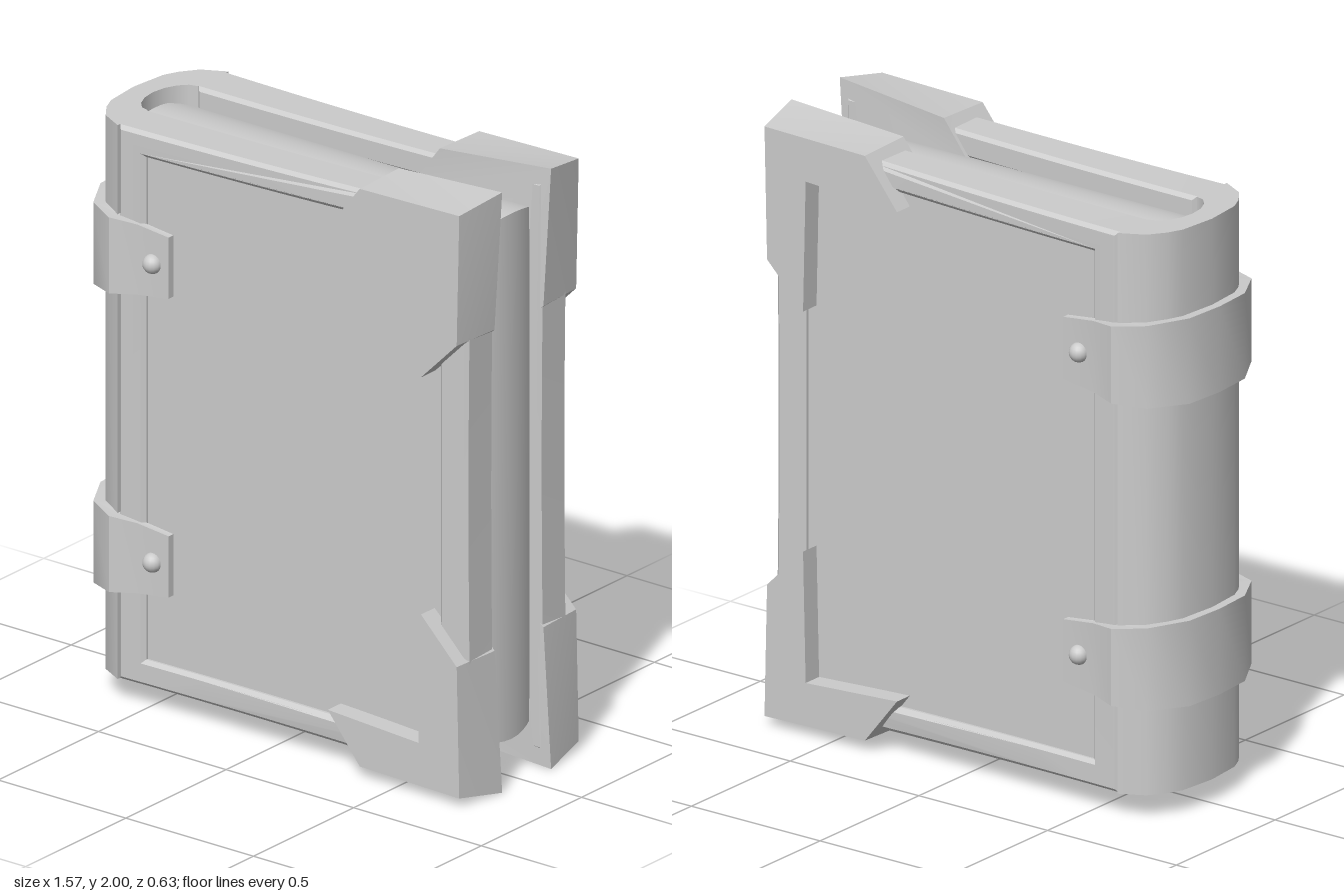
import * as THREE from 'three';
import { toCreasedNormals } from 'three/addons/utils/BufferGeometryUtils.js';

const MID = 1; // height of the book's centre
const material = new THREE.MeshStandardMaterial({ color: 0xcccccc });
const vec = (x, y) => new THREE.Vector2(x, y);

// Move every vertex by a rule
function warp(geometry, rule) {
  const p = geometry.attributes.position;
  const v = new THREE.Vector3();
  for (let i = 0; i < p.count; i++) {
    rule(v.fromBufferAttribute(p, i));
    p.setXYZ(i, v.x, v.y, v.z);
  }
  return geometry;
}

// Reflect about the middle height (sy) and the middle plane (sz), keeping faces outward
function reflect(geometry, sy, sz) {
  const g = geometry.index ? geometry.toNonIndexed() : geometry.clone();
  warp(g, v => { v.y = MID + (v.y - MID) * sy; v.z *= sz; });
  if (sy * sz < 0) {
    const p = g.attributes.position;
    const a = new THREE.Vector3(), b = new THREE.Vector3();
    for (let i = 0; i < p.count; i += 3) {
      a.fromBufferAttribute(p, i + 1);
      b.fromBufferAttribute(p, i + 2);
      p.setXYZ(i + 1, b.x, b.y, b.z);
      p.setXYZ(i + 2, a.x, a.y, a.z);
    }
  }
  return g;
}

function part(name, geometry, crease = 0.6) {
  const g = geometry.index ? geometry.toNonIndexed() : geometry;
  g.deleteAttribute('normal');
  g.computeVertexNormals();
  const mesh = new THREE.Mesh(toCreasedNormals(g, crease), material);
  mesh.name = name;
  return mesh;
}

// Band bent round the spine: half profiles [x, z] from the spine middle outwards, height -1..1
function band(outer, inner) {
  const mirrored = half => [
    ...half.slice(1).reverse().map(([x, z]) => vec(x, -z)),
    ...half.map(([x, z]) => vec(x, z)),
  ];
  const shape = new THREE.Shape([...mirrored(outer), ...mirrored(inner).reverse()]);
  return new THREE.ExtrudeGeometry(shape, { depth: 2, bevelEnabled: false })
    .translate(0, 0, -1).rotateX(-Math.PI / 2);
}

// Outer face of a board and its flare towards the open side
const outerZ = x => 0.277 - 0.027 * Math.min(1, (x + 0.6) / 0.95);
const flare = x => 0.025 * ((x + 0.6) / 1.35) ** 2;

// Four-sided outline with flared long edges and a hollow right edge
function outline(x0, x1, half, bow) {
  const n = 10, pts = [];
  for (let i = 0; i <= n; i++) {
    const x = x0 + (x1 - x0) * i / n;
    pts.push(vec(x, MID - half - flare(x)));
  }
  const end = half + flare(x1);
  for (let i = 1; i < n; i++) {
    const t = -1 + 2 * i / n;
    pts.push(vec(x1 - bow * (1 - t * t), MID + t * end));
  }
  for (let i = n; i >= 0; i--) {
    const x = x0 + (x1 - x0) * i / n;
    pts.push(vec(x, MID + half + flare(x)));
  }
  return pts;
}

function boardFrame() {
  const shape = new THREE.Shape(outline(-0.6, 0.757, 0.9225, 0.012));
  shape.holes.push(new THREE.Path(outline(-0.5, 0.637, 0.837, 0).reverse()));
  const bevel = 0.012, depth = 0.126;
  const g = new THREE.ExtrudeGeometry(shape, {
    depth, bevelThickness: bevel, bevelSize: bevel, bevelOffset: -bevel, bevelSegments: 1,
  });
  return warp(g, v => {
    const t = (v.z + bevel) / (depth + 2 * bevel);
    v.z = THREE.MathUtils.lerp(0.115, outerZ(v.x), t);
  });
}

function boardPanel() {
  const g = new THREE.PlaneGeometry(1.17, 1.72, 10, 1).translate(0.07, MID, 0);
  return warp(g, v => { v.z = outerZ(v.x) - 0.02; });
}

// L-shaped corner guard whose outer walls splay towards the pages
function cornerGuard() {
  const shape = new THREE.Shape([
    vec(0.24, 1.805), vec(0.595, 1.825), vec(0.605, 1.395),
    vec(0.745, 1.535), vec(0.755, 1.97), vec(0.365, 1.962),
  ]);
  const g = new THREE.ExtrudeGeometry(shape, { depth: 1, bevelEnabled: false });
  return warp(g, v => {
    const inside = 1 - v.z;
    const edge = v.x > 0.7;
    v.z = THREE.MathUtils.lerp(edge ? 0.122 : 0.102, 0.298, v.z);
    if (edge) v.x += inside * (v.y > 1.9 ? 0.03 : 0.01);
    if (v.y > 1.9) v.y += inside * (edge ? 0.03 : 0.006);
  });
}

function pageBlock() {
  const g = new THREE.BoxGeometry(1.37, 1.7, 0.26, 1, 1, 8).translate(0.015, MID, 0);
  return warp(g, v => {
    const bulge = 1 - (v.z / 0.13) ** 2;
    if (v.x > 0) v.x += 0.025 * bulge;
    v.y += Math.sign(v.y - MID) * 0.025 * bulge;
  });
}

export function createModel() {
  const model = new THREE.Group();
  model.name = 'book';

  // Rounded spine
  const spine = band(
    [[-0.755, 0], [-0.742, 0.13], [-0.72, 0.18], [-0.68, 0.235], [-0.6, 0.277]],
    [[-0.68, 0], [-0.673, 0.05], [-0.655, 0.09], [-0.63, 0.117], [-0.6, 0.125]],
  );
  model.add(part('spine', warp(spine, v => { v.y = MID + v.y * 0.9225; })));
  model.add(part('pages', pageBlock()));

  // Covers, with a guard on each outer corner
  const frame = boardFrame(), panel = boardPanel(), guard = cornerGuard();
  for (const sz of [1, -1]) {
    const cover = new THREE.Group();
    cover.name = sz > 0 ? 'frontCover' : 'backCover';
    cover.add(part('coverFrame', reflect(frame, 1, sz), 0.4));
    cover.add(part('coverPanel', reflect(panel, 1, sz)));
    for (const sy of [1, -1]) cover.add(part('cornerGuard', reflect(guard, sy, sz), 0.3));
    model.add(cover);
  }

  // Straps round the spine, tapering towards a rivet at each end
  for (const y of [1.5, 0.505]) {
    const strap = new THREE.Group();
    strap.name = y > MID ? 'upperStrap' : 'lowerStrap';
    const g = band(
      [[-0.785, 0], [-0.775, 0.14], [-0.705, 0.265], [-0.605, 0.315], [-0.515, 0.288], [-0.395, 0.284]],
      [[-0.74, 0], [-0.73, 0.12], [-0.67, 0.225], [-0.595, 0.265], [-0.515, 0.262], [-0.395, 0.26]],
    );
    warp(g, v => {
      const t = THREE.MathUtils.clamp((v.x + 0.785) / 0.39, 0, 1);
      v.y = y + v.y * (0.141 - 0.039 * t ** 1.3);
    });
    strap.add(part('strapBand', g));
    for (const sz of [1, -1]) {
      const rivet = new THREE.Mesh(new THREE.SphereGeometry(0.032, 16, 12), material);
      rivet.name = 'rivet';
      rivet.position.set(-0.457, y, sz * 0.285);
      strap.add(rivet);
    }
    model.add(strap);
  }
  return model;
}
